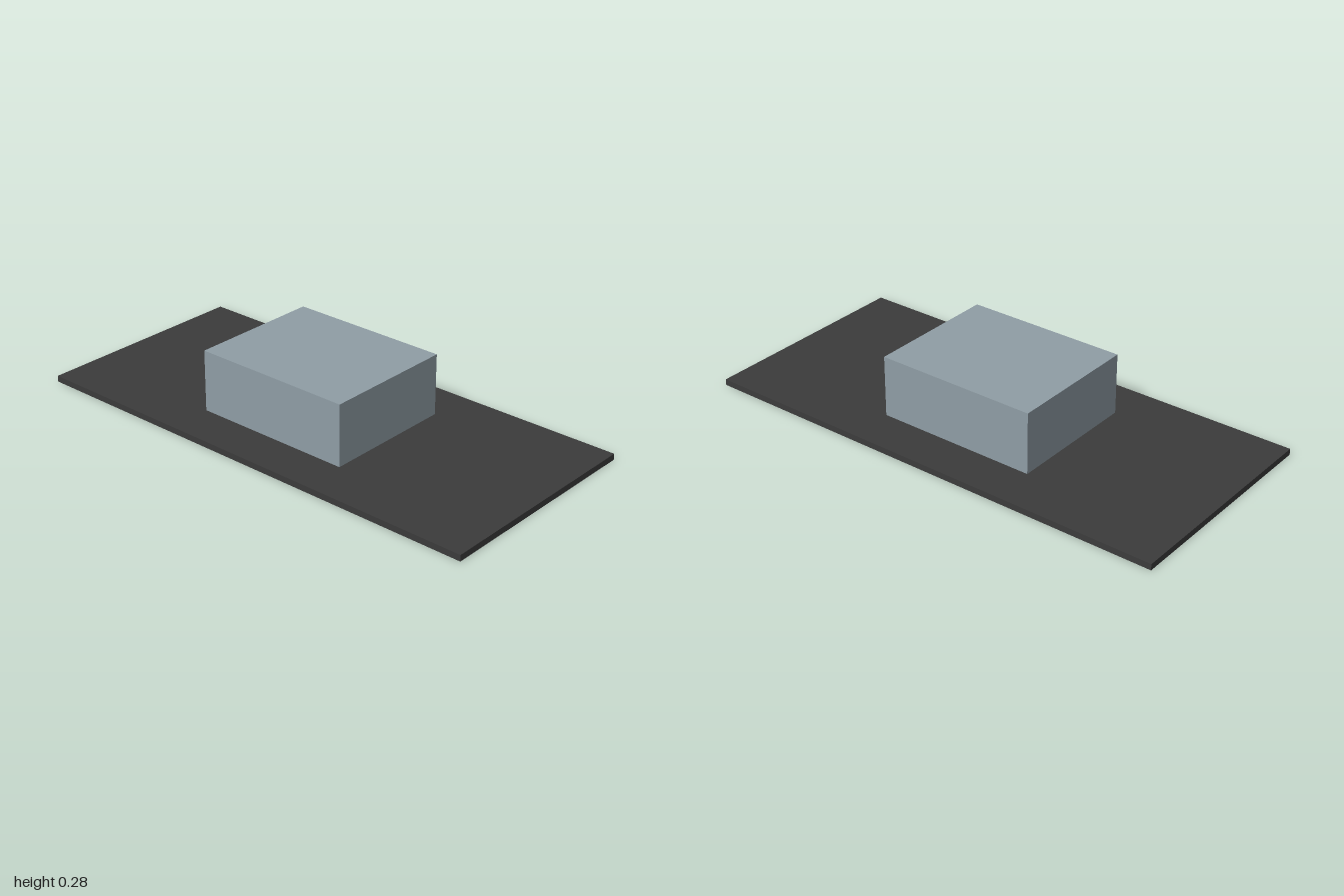
import * as THREE from 'three';

// Box given by its minimum and maximum corners
function slab(name, min, max, color) {
  const size = max.map((v, i) => v - min[i]);
  const mesh = new THREE.Mesh(
    new THREE.BoxGeometry(...size),
    new THREE.MeshStandardMaterial({ color })
  );
  mesh.position.set(...max.map((v, i) => (v + min[i]) / 2));
  mesh.name = name;
  return mesh;
}

export function createModel() {
  const group = new THREE.Group();
  group.name = 'blockOnPlate';
  // Thin dark base plate
  group.add(slab('basePlate', [-1, 0, -0.457], [1, 0.025, 0.457], 0x3c3c3c));
  // Grey-blue block, slightly off centre
  group.add(slab('block', [-0.348, 0.025, -0.273], [0.322, 0.275, 0.277], 0x909ea6));
  return group;
}
